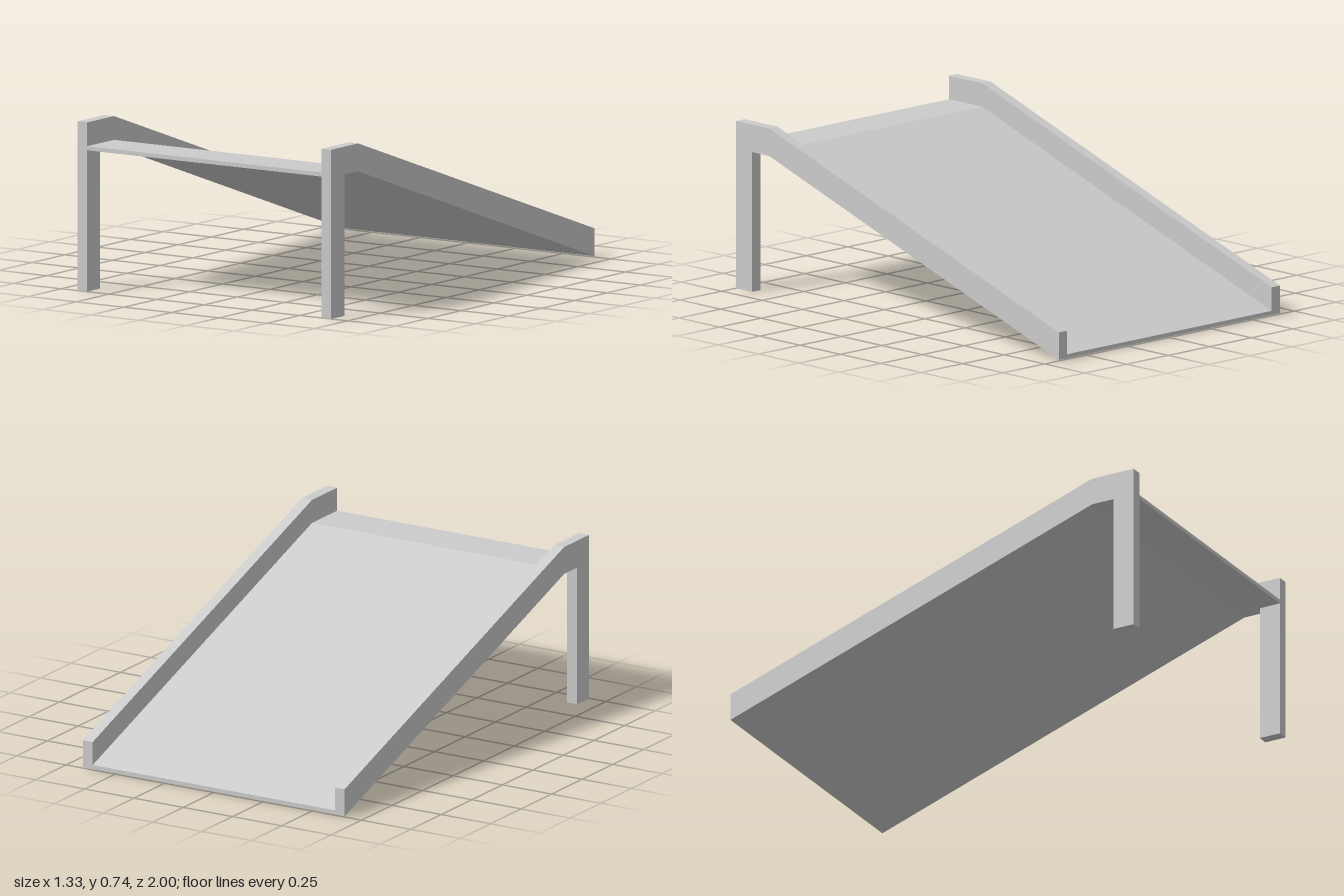
import * as THREE from 'three';

// Extrude a (z, y) side profile across x, centred on the given x
function extrudeAcross(name, profile, width, x, material) {
  const shape = new THREE.Shape(profile.map(([z, y]) => new THREE.Vector2(z, y)));
  const geometry = new THREE.ExtrudeGeometry(shape, { depth: width, bevelEnabled: false });
  geometry.translate(0, 0, -width / 2);
  geometry.rotateY(-Math.PI / 2);
  const mesh = new THREE.Mesh(geometry, material);
  mesh.name = name;
  mesh.position.x = x;
  return mesh;
}

export function createModel() {
  const group = new THREE.Group();
  group.name = 'ramp';
  const grey = new THREE.MeshStandardMaterial({ color: 0xcccccc });
  grey.name = 'light grey';

  const halfWidth = 0.665, railWidth = 0.05;

  // Side rails: front leg, short level top and long slope in one profile
  const railProfile = [
    [1, 0], [1, 0.74], [0.795, 0.74], [-1, 0.126],
    [-1, 0.004], [0.795, 0.618], [0.9, 0.618], [0.9, 0],
  ];
  for (const [name, side] of [['leftRailAndLeg', 1], ['rightRailAndLeg', -1]]) {
    group.add(extrudeAcross(name, railProfile, railWidth, side * (halfWidth - railWidth / 2), grey));
  }

  // Thin deck: level landing at the front, sloping down to the back
  const deckProfile = [
    [1, 0.618], [1, 0.636], [0.795, 0.636],
    [-1, 0.022], [-1, 0.004], [0.795, 0.618],
  ];
  group.add(extrudeAcross('deck', deckProfile, 2 * (halfWidth - railWidth), 0, grey));

  return group;
}
